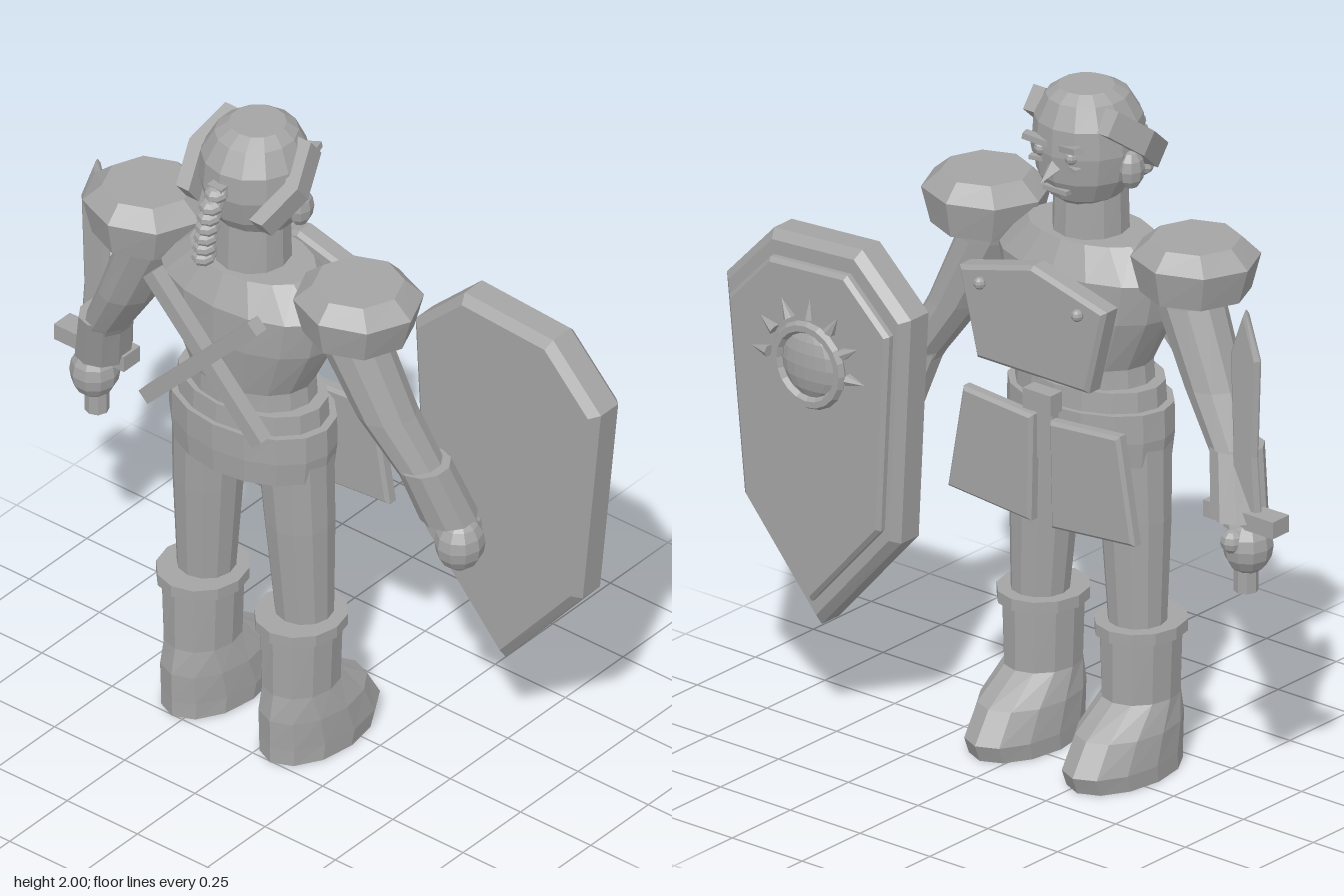
import * as THREE from 'three';

const stone = new THREE.MeshStandardMaterial({ color: 0xa4a4a4, flatShading: true });
stone.name = 'stone grey';

function add(parent, name, geometry, x = 0, y = 0, z = 0, rx = 0, ry = 0, rz = 0) {
  const m = new THREE.Mesh(geometry, stone);
  m.name = name;
  m.position.set(x, y, z);
  m.rotation.set(rx, ry, rz);
  parent.add(m);
  return m;
}

// Stack of elliptical sections, top to bottom: [y, centre x, centre z, radius x, radius z]
function loft(sections, sides = 12) {
  const n = sections.length - 1;
  const g = new THREE.CylinderGeometry(1, 1, 1, sides, n);
  const p = g.attributes.position;
  for (let i = 0; i < p.count; i++) {
    const [y, cx, cz, rx, rz] = sections[Math.round((0.5 - p.getY(i)) * n)];
    p.setXYZ(i, cx + p.getX(i) * rx, y, cz + p.getZ(i) * rz);
  }
  g.computeVertexNormals();
  return g;
}

// Flat plate with bevelled rim, running from z = 0 to z = thickness
function plate(points, thickness, bevel) {
  const shape = new THREE.Shape(points.map(([x, y]) => new THREE.Vector2(x, y)));
  const g = new THREE.ExtrudeGeometry(shape, {
    depth: thickness - 2 * bevel, bevelThickness: bevel, bevelSize: bevel,
    bevelOffset: -bevel, bevelSegments: 1,
  });
  return g.translate(0, 0, bevel);
}

const box = (x, y, z) => new THREE.BoxGeometry(x, y, z);

function buildHead(body) {
  const head = new THREE.Group();
  head.name = 'head';
  body.add(head);
  add(head, 'neck', loft([[1.72, 0, 0, 0.105, 0.105], [1.53, 0, 0, 0.108, 0.112]]));
  add(head, 'skull', loft([
    [2.0, 0, -0.02, 0.08, 0.08], [1.975, 0, -0.015, 0.115, 0.12], [1.91, 0, -0.01, 0.15, 0.155],
    [1.83, 0, -0.01, 0.156, 0.16], [1.75, 0, -0.015, 0.14, 0.145], [1.69, 0, -0.02, 0.105, 0.11],
    [1.66, 0, -0.02, 0.06, 0.07]], 14));
  for (const s of [-1, 1]) {
    add(head, 'ear', new THREE.SphereGeometry(1, 8, 6), s * 0.158, 1.785, -0.015).scale.set(0.033, 0.058, 0.042);
    // Bent band around the side of the skull
    const band = new THREE.BoxGeometry(0.045, 0.075, 0.27, 1, 1, 2);
    const p = band.attributes.position;
    for (let i = 0; i < p.count; i++) if (Math.abs(p.getZ(i)) < 0.01) p.setX(i, p.getX(i) + s * 0.04);
    add(head, 'headBand', band, s * 0.13, 1.86, 0.02, 0.65);
    add(head, 'eye', new THREE.SphereGeometry(0.02, 8, 6), s * 0.055, 1.835, -0.15);
    add(head, 'eyebrow', box(0.08, 0.018, 0.03), s * 0.06, 1.865, -0.16, 0, s * 0.3, s * 0.2);
    add(head, 'cheekLine', box(0.06, 0.012, 0.02), s * 0.058, 1.805, -0.15, 0, s * 0.3, 0);
  }
  add(head, 'nose', new THREE.ConeGeometry(0.03, 0.09, 4), 0, 1.785, -0.18, -2.05);
  add(head, 'mouth', box(0.085, 0.014, 0.03), 0, 1.725, -0.143);
  // Braid of flattened beads
  for (let i = 0; i < 7; i++) {
    const t = i / 6;
    add(head, 'braidBead', new THREE.SphereGeometry(0.036, 8, 6),
      0, 1.855 - 0.18 * t, 0.16 + 0.055 * Math.sqrt(t), 0.2).scale.y = 0.7;
  }
  add(head, 'braidRoot', box(0.05, 0.04, 0.06), 0, 1.86, 0.14);
}

function buildTorso(body) {
  add(body, 'torso', loft([
    [1.57, 0, 0, 0.2, 0.13], [1.48, 0, 0, 0.302, 0.176], [1.36, 0, 0, 0.275, 0.175],
    [1.2, 0, 0, 0.192, 0.148], [1.12, 0, 0, 0.2, 0.15]], 16));
  add(body, 'belt', loft([[1.145, 0, 0, 0.235, 0.16], [1.07, 0, 0, 0.24, 0.165]], 16));
  add(body, 'hips', loft([
    [1.085, 0, 0, 0.263, 0.178], [1.0, 0, 0, 0.265, 0.178], [0.925, 0, 0, 0.255, 0.172]], 16));
  add(body, 'buckle', box(0.1, 0.06, 0.05), 0, 1.115, -0.21);
  add(body, 'beltTongue', box(0.055, 0.18, 0.03), 0, 1.02, -0.185);
  // Crossed bars
  add(body, 'crossBar', box(0.045, 0.56, 0.045), 0, 1.325, 0.2, 0, 0, Math.PI / 4.1);
  add(body, 'crossBar', box(0.045, 0.56, 0.045), 0, 1.325, 0.22, 0, 0, -Math.PI / 4.1);
  add(body, 'crossBarMount', box(0.06, 0.06, 0.08), 0, 1.325, 0.175);
  // Breastplate with rivets
  add(body, 'breastplate', plate([
    [-0.2, 1.2], [0.2, 1.2], [0.264, 1.46], [0, 1.53], [-0.264, 1.46]], 0.07, 0.012), 0, 0, -0.26);
  for (const s of [-1, 1]) {
    add(body, 'rivet', new THREE.SphereGeometry(0.018, 8, 6), s * 0.175, 1.435, -0.27);
    add(body, 'skirtPlate', plate(s > 0
      ? [[0.03, 1.06], [0.037, 0.74], [0.335, 0.765], [0.28, 1.08]]
      : [[-0.03, 1.06], [-0.28, 1.08], [-0.335, 0.765], [-0.037, 0.74]], 0.045, 0.01), 0, 0, -0.222);
  }
}

function buildLimbs(body, s) {
  add(body, 'shoulderGuard', loft([
    [1.635, s * 0.375, 0, 0.128, 0.128], [1.585, s * 0.375, 0, 0.187, 0.175],
    [1.48, s * 0.375, 0, 0.155, 0.155]], 8));
  add(body, 'arm', loft([
    [1.55, s * 0.325, 0, 0.1, 0.1], [1.45, s * 0.355, 0, 0.098, 0.1],
    [1.23, s * 0.46, -0.02, 0.083, 0.09], [1.07, s * 0.555, -0.05, 0.066, 0.075],
    [0.88, s * 0.63, -0.11, 0.05, 0.05]], 10));
  add(body, 'armCuff', loft([
    [1.085, s * 0.565, -0.05, 0.075, 0.082], [0.905, s * 0.615, -0.1, 0.08, 0.085]], 10))
    .rotation.z = 0;
  add(body, 'hand', new THREE.SphereGeometry(1, 10, 8), s * 0.65, 0.825, -0.105).scale.set(0.07, 0.085, 0.073);
  add(body, 'thumb', new THREE.SphereGeometry(0.035, 8, 6), s * 0.64, 0.85, -0.16);
  add(body, 'leg', loft([
    [0.98, s * 0.15, 0, 0.11, 0.108], [0.75, s * 0.163, -0.003, 0.1, 0.1],
    [0.42, s * 0.175, -0.01, 0.082, 0.082]], 12));
  add(body, 'bootCuff', loft([
    [0.44, s * 0.175, 0.005, 0.127, 0.138], [0.405, s * 0.175, 0.005, 0.127, 0.138]], 12));
  add(body, 'boot', loft([
    [0.41, s * 0.175, 0.005, 0.112, 0.124], [0.22, s * 0.175, 0.005, 0.105, 0.122],
    [0.14, s * 0.175, -0.045, 0.122, 0.187], [0.05, s * 0.175, -0.075, 0.125, 0.215],
    [0, s * 0.175, -0.065, 0.122, 0.205]], 12));
}

function buildSword(parent) {
  const sword = new THREE.Group();
  sword.name = 'sword';
  sword.position.set(-0.755, 0, 0.005);
  parent.add(sword);
  add(sword, 'blade', plate([
    [-0.055, 0.92], [0.055, 0.92], [0.042, 1.1], [0.052, 1.39], [0, 1.53], [-0.052, 1.39], [-0.042, 1.1]],
  0.03, 0.012), 0, 0, -0.015);
  add(sword, 'guard', box(0.25, 0.05, 0.07), 0, 0.912, 0);
  add(sword, 'grip', new THREE.CylinderGeometry(0.035, 0.035, 0.24, 8), 0, 0.81, 0);
}

function buildShield(parent) {
  const shield = new THREE.Group();
  shield.name = 'shield';
  parent.add(shield);
  const outline = [[0.705, 1.465], [0.39, 1.485], [0.215, 1.32], [0.25, 0.64],
    [0.535, 0.32], [0.81, 0.64], [0.875, 1.285]];
  const inner = (k) => outline.map(([x, y]) => [0.545 + (x - 0.545) * k, 0.95 + (y - 0.95) * k]);
  add(shield, 'shieldBoard', plate(outline, 0.125, 0.025), 0, 0, -0.297);
  add(shield, 'shieldPanel', plate(inner(0.87), 0.04, 0.012), 0, 0, -0.325);
  // Sun boss: ring, dome and a half circle of rays
  const cx = 0.53, cy = 1.12;
  add(shield, 'bossRing', new THREE.TorusGeometry(0.112, 0.018, 6, 20), cx, cy, -0.335);
  add(shield, 'bossDome', new THREE.SphereGeometry(0.1, 16, 8), cx, cy, -0.322).scale.z = 0.32;
  for (let i = 0; i < 7; i++) {
    const a = (i / 6) * Math.PI + 0.03;
    add(shield, 'ray', new THREE.ConeGeometry(0.018, 0.06, 6),
      cx + 0.172 * Math.cos(a), cy + 0.172 * Math.sin(a), -0.337, 0, 0, a - Math.PI / 2);
  }
}

export function createModel() {
  const model = new THREE.Group();
  model.name = 'warrior';
  const body = new THREE.Group();
  body.name = 'body';
  body.position.set(-0.108, 0, 0.115);
  model.add(body);
  buildHead(body);
  buildTorso(body);
  for (const s of [-1, 1]) buildLimbs(body, s);
  buildSword(model);
  buildShield(model);
  return model;
}
